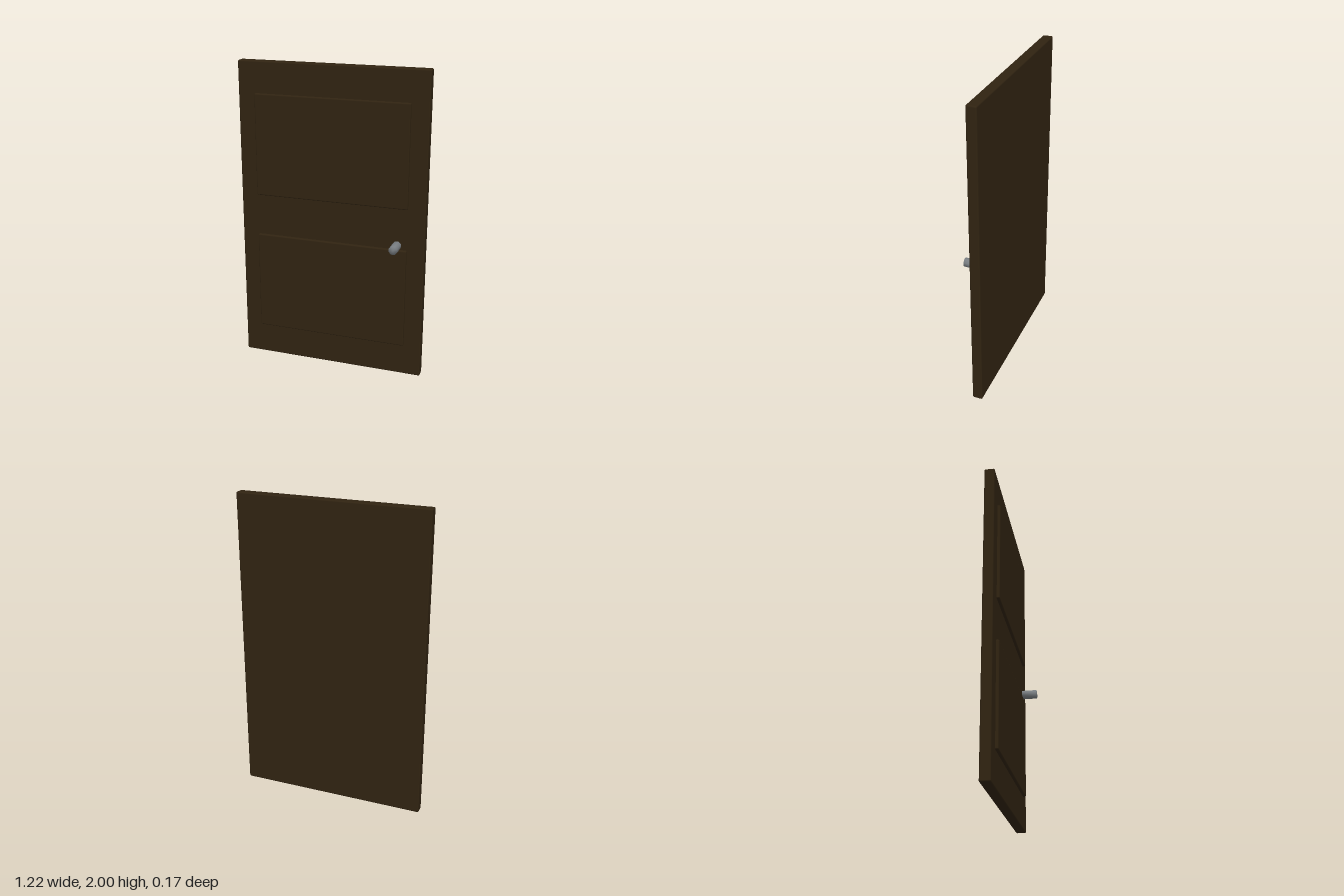
import * as THREE from 'three';
import { RoundedBoxGeometry } from 'three/addons/geometries/RoundedBoxGeometry.js';
import { mergeVertices } from 'three/addons/utils/BufferGeometryUtils.js';

export function createModel() {
  const door = new THREE.Group();
  door.name = 'door';
  const wood = new THREE.MeshStandardMaterial({ color: 0x302311 });
  wood.name = 'dark wood';
  const metal = new THREE.MeshStandardMaterial({ color: 0x7a7f83 });
  metal.name = 'grey metal';

  const add = (name, geometry, material, x, y, z) => {
    const mesh = new THREE.Mesh(geometry, material);
    mesh.name = name;
    mesh.position.set(x, y, z);
    door.add(mesh);
  };

  // Slab with softened edges
  add('slab', new RoundedBoxGeometry(1.224, 2, 0.065, 2, 0.009), wood, 0, 1, -0.0525);

  // Two raised panels, sunk into the front of the slab
  for (const [name, y] of [['lowerPanel', 0.54], ['upperPanel', 1.47]]) {
    add(name, new RoundedBoxGeometry(1, 0.66, 0.04, 2, 0.008), wood, 0, y, -0.022);
  }

  // Eight-sided knob with normals shared across sides and ends
  let knob = new THREE.CylinderGeometry(0.0287, 0.0287, 0.097, 8);
  knob.rotateY(Math.PI / 8).rotateX(Math.PI / 2);
  knob.deleteAttribute('normal');
  knob.deleteAttribute('uv');
  knob = mergeVertices(knob, 1e-4);
  knob.computeVertexNormals();
  add('knob', knob, metal, 0.437, 0.9, 0.0365);

  return door;
}
